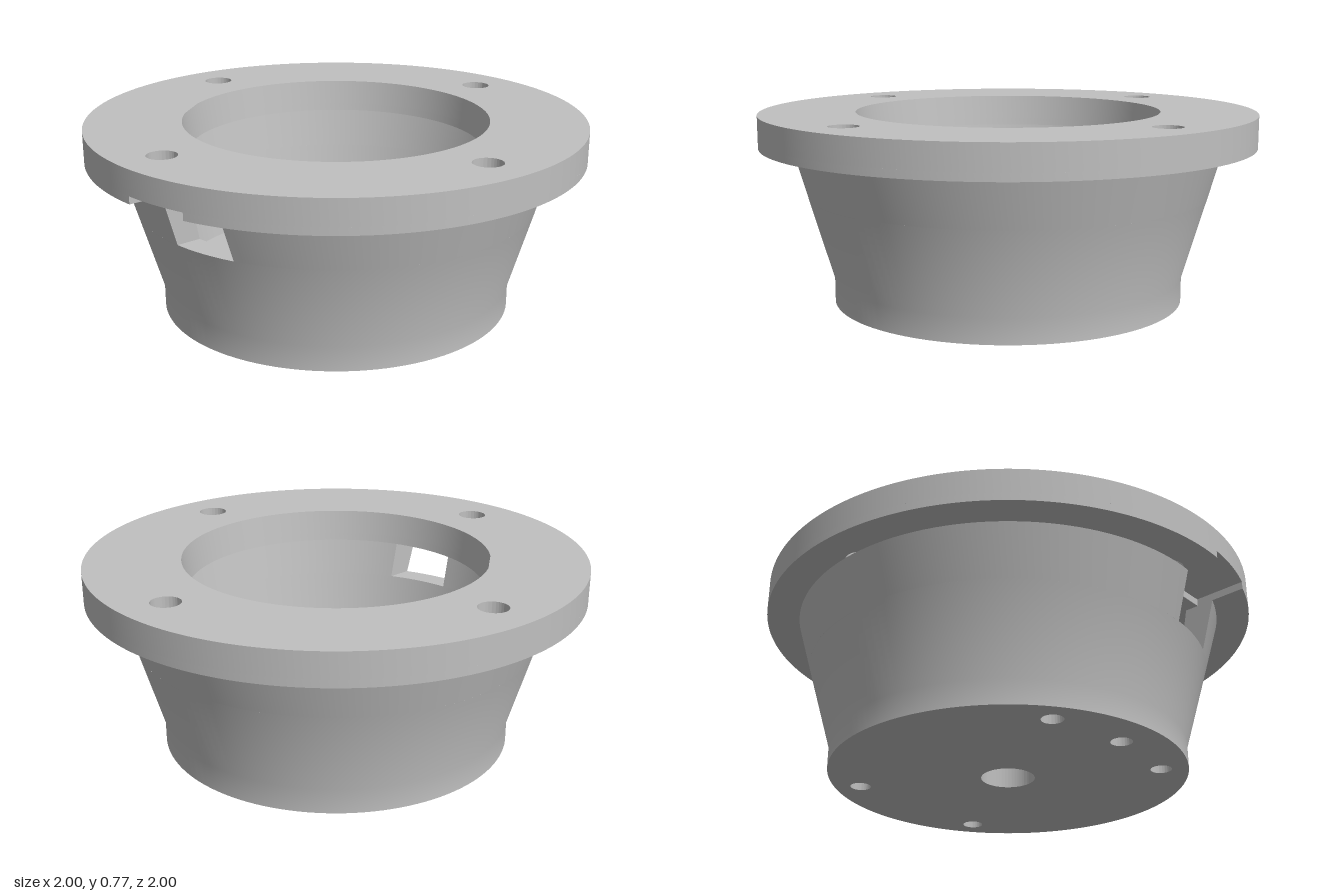
import * as THREE from 'three';
import { toCreasedNormals } from 'three/addons/utils/BufferGeometryUtils.js';

const SEG = 128;
const FLANGE_BOTTOM = 0.64, FLANGE_TOP = 0.77;
// side slot limits
const SLOT_Z0 = 0.06, SLOT_Z1 = 0.32, SLOT_Y0 = 0.44, SLOT_Y1 = 0.67;
// outer and inner wall radius at the slot sill and at the top
const OUT_SILL = 0.813, OUT_TOP = 0.87, IN_SILL = 0.717, IN_TOP = 0.755;

export function createModel() {
  const model = new THREE.Group();
  model.name = 'flangedHousing';
  const grey = new THREE.MeshStandardMaterial({ color: 0xc0c0c0, side: THREE.DoubleSide });
  grey.name = 'grey';

  const add = (name, geometry) => {
    const mesh = new THREE.Mesh(geometry, grey);
    mesh.name = name;
    model.add(mesh);
  };
  const circle = (x, z, r) => new THREE.Path().absarc(x, z, r, 0, Math.PI * 2, true);
  const lathe = (points) =>
    new THREE.LatheGeometry(points.map(([r, y]) => new THREE.Vector2(r, y)), SEG);
  // horizontal plate: shape y becomes z
  const plate = (shape, bottom, top) => {
    const g = new THREE.ExtrudeGeometry(shape, { depth: top - bottom, bevelEnabled: false, curveSegments: SEG });
    return g.rotateX(Math.PI / 2).translate(0, top, 0);
  };

  // floor with centre hole and five small holes
  const floor = new THREE.Shape().absarc(0, 0, 0.7145, 0, Math.PI * 2, false);
  floor.holes.push(circle(0, 0, 0.107), circle(-0.565, 0, 0.042));
  for (const sx of [-1, 1]) for (const sz of [-1, 1]) floor.holes.push(circle(sx * 0.51, sz * 0.33, 0.042));
  add('floor', toCreasedNormals(plate(floor, 0, 0.11), 0.5));

  // wall below the slot sill
  add('lowerWall', toCreasedNormals(lathe([
    [0.715, 0], [0.715, 0.1], [OUT_SILL, SLOT_Y0], [IN_SILL, SLOT_Y0], [0.655, 0.11],
  ]), 0.5));

  // wall above the sill, its ends swung to leave a slot with parallel sides
  const upper = lathe([
    [OUT_SILL, SLOT_Y0], [OUT_TOP, FLANGE_BOTTOM], [0.868, 0.635], [IN_TOP, 0.635],
    [IN_TOP, FLANGE_BOTTOM], [IN_SILL, SLOT_Y0],
  ]);
  const p = upper.attributes.position;
  const perRing = p.count / (SEG + 1);
  for (let i = 0; i < p.count; i++) {
    const r = Math.hypot(p.getX(i), p.getZ(i));
    const t = Math.floor(i / perRing) / SEG;
    const start = -Math.acos(SLOT_Z1 / r);
    const end = Math.PI * 2 - Math.acos(SLOT_Z0 / r);
    const a = start + (end - start) * t;
    p.setXYZ(i, r * Math.sin(a), p.getY(i), r * Math.cos(a));
  }
  add('upperWall', toCreasedNormals(upper, 0.5));

  // flat sides of the slot
  for (const z of [SLOT_Z0, SLOT_Z1]) {
    const at = (r, y) => new THREE.Vector2(-Math.sqrt(r * r - z * z), y);
    const side = new THREE.ShapeGeometry(new THREE.Shape([
      at(OUT_SILL, SLOT_Y0), at(IN_SILL, SLOT_Y0), at(IN_TOP, FLANGE_BOTTOM), at(OUT_TOP, FLANGE_BOTTOM),
    ]));
    if (z === SLOT_Z1) side.rotateY(Math.PI).scale(-1, 1, 1).scale(1, 1, 1);
    add('slotSide', side.translate(0, 0, z));
  }

  // flange in two layers, the lower one notched by the slot
  const flangeLayer = (shape, bottom, top) => {
    shape.holes.push(circle(0, 0, 0.61));
    for (const s of [-1, 1]) shape.holes.push(circle(s * 0.82, 0, 0.058), circle(0, s * 0.82, 0.058));
    const g = plate(shape, bottom, top);
    const q = g.attributes.position;
    // taper the central opening
    for (let i = 0; i < q.count; i++) {
      const r = Math.hypot(q.getX(i), q.getZ(i));
      if (r > 0.65) continue;
      const k = (0.597 + 0.018 * (q.getY(i) - FLANGE_BOTTOM) / (FLANGE_TOP - FLANGE_BOTTOM)) / r;
      q.setXYZ(i, q.getX(i) * k, q.getY(i), q.getZ(i) * k);
    }
    return toCreasedNormals(g, 0.5);
  };
  const notched = new THREE.Shape()
    .absarc(0, 0, 1, Math.PI - Math.asin(SLOT_Z0), Math.PI * 3 - Math.asin(SLOT_Z1), false)
    .lineTo(-0.74, SLOT_Z1)
    .lineTo(-0.74, SLOT_Z0);
  add('flangeLower', flangeLayer(notched, FLANGE_BOTTOM, SLOT_Y1));
  const round = new THREE.Shape().absarc(0, 0, 1, 0, Math.PI * 2, false);
  add('flangeUpper', flangeLayer(round, SLOT_Y1, FLANGE_TOP));

  return model;
}
